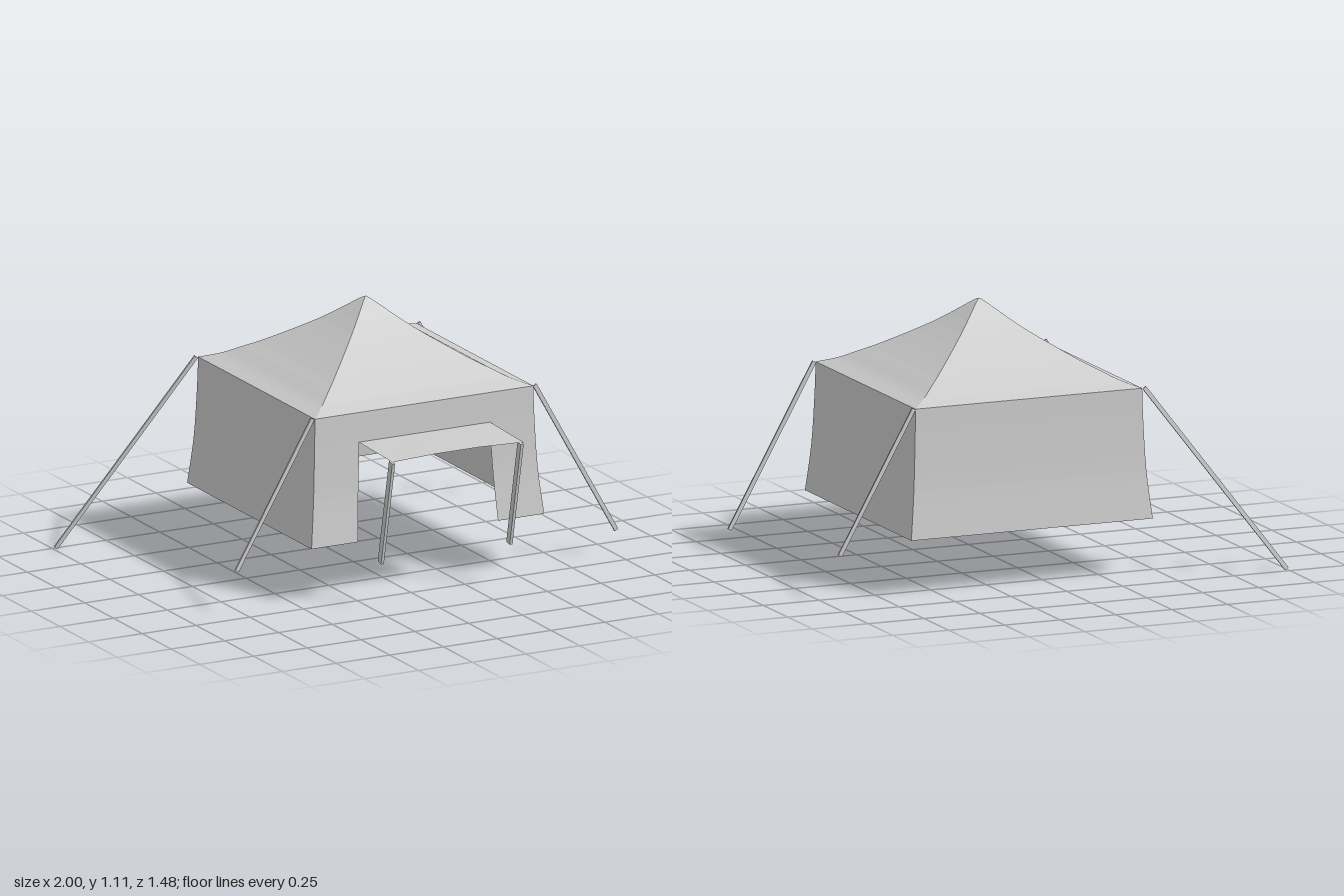
import * as THREE from 'three';

const CX = 0.095, CZ = -0.072, EAVE = 0.783, DOOR = 0.655;
const cloth = new THREE.MeshStandardMaterial({ color: 0xcccccc, flatShading: true, side: THREE.DoubleSide });
const V = (x, y, z) => new THREE.Vector3(x, y, z);

// Half-width of the tent against height: [half, y]
const curve = pts => new THREE.SplineCurve(pts.map(p => new THREE.Vector2(...p)));
const wallProfile = curve([[0.541, 0.24], [0.521, 0.44], [0.511, DOOR], [0.508, EAVE]]).getPoints(12);
const roofProfile = curve([[0.508, EAVE], [0.437, 0.81], [0.375, 0.845], [0.3, 0.888],
  [0.14, 0.995], [0.02, 1.094], [0, 1.105]]).getPoints(18);

function add(group, name, geometry) {
  const mesh = new THREE.Mesh(geometry, cloth);
  mesh.name = name;
  group.add(mesh);
  return mesh;
}

// Square sweep of a profile around the tent's axis
function squareSweep(profile, length) {
  const pts = profile.map(p => new THREE.Vector2(Math.max(p.x, 0) * Math.SQRT2, p.y));
  const sides = Math.round(length / (Math.PI / 2));
  return new THREE.LatheGeometry(pts, sides, Math.PI / 4, length).translate(CX, 0, CZ);
}

// Surface through rows of points, each row running left to right, listed bottom to top
function sheet(rows) {
  const n = rows[0].length, index = [];
  for (let r = 0; r < rows.length - 1; r++) {
    for (let c = 0; c < n - 1; c++) {
      const a = r * n + c, b = a + n;
      index.push(a, a + 1, b + 1, a, b + 1, b);
    }
  }
  const g = new THREE.BufferGeometry().setFromPoints(rows.flat());
  g.setIndex(index);
  g.computeVertexNormals();
  return g;
}

// Flat strap or pole from a to b: width across, depth along the given thin axis
function bar(group, name, a, b, width, depth, depthAxis) {
  const dir = b.clone().sub(a);
  const mesh = add(group, name, new THREE.BoxGeometry(width, dir.length(), depth));
  const y = dir.normalize();
  const x = new THREE.Vector3().crossVectors(y, depthAxis).normalize();
  const z = new THREE.Vector3().crossVectors(x, y);
  mesh.quaternion.setFromRotationMatrix(new THREE.Matrix4().makeBasis(x, y, z));
  mesh.position.copy(a).add(b).multiplyScalar(0.5);
}

export function createModel() {
  const tent = new THREE.Group();
  tent.name = 'tent';

  // Roof, and the two side walls with the back wall
  add(tent, 'roof', squareSweep(roofProfile, Math.PI * 2));
  add(tent, 'sideAndBackWalls', squareSweep(wallProfile, Math.PI * 1.5));

  // Front wall: a panel on each side of the doorway and a header above it
  const lower = wallProfile.filter(p => p.y < DOOR + 0.001);
  const upper = wallProfile.filter(p => p.y > DOOR - 0.001);
  const doorHalf = y => 0.304 + 0.022 * ((DOOR - y) / (DOOR - 0.24)) ** 1.3;
  for (const [s, name] of [[-1, 'frontWallRight'], [1, 'frontWallLeft']]) {
    add(tent, name, sheet(lower.map(p => {
      const xs = [s * p.x, s * doorHalf(Math.min(p.y, DOOR))].sort((a, b) => a - b);
      return xs.map(x => V(CX + x, p.y, CZ + p.x));
    })));
  }
  add(tent, 'frontHeader', sheet(upper.map(p => [-p.x, p.x].map(x => V(CX + x, p.y, CZ + p.x)))));

  // Awning over the doorway, its front edge a little lower at the corners
  const awningXs = [-0.305, -0.1, 0.1, 0.305];
  add(tent, 'awning', sheet([
    awningXs.map(x => V(CX + x, Math.abs(x) > 0.2 ? 0.648 : 0.654, Math.abs(x) > 0.2 ? 0.732 : 0.726)),
    awningXs.map(x => V(CX + x, 0.657, CZ + 0.511)),
  ]));

  // Awning poles, leaning back towards the tent at the foot
  for (const [x, name] of [[-0.207, 'awningPoleRight'], [0.391, 'awningPoleLeft']]) {
    bar(tent, name, V(x, 0.19, 0.624), V(x, 0.645, 0.722), 0.013, 0.03, V(0, 0, 1));
  }

  // Guy lines at the four corners
  const guys = [
    ['guyLineFrontRight', V(-0.422, 0.785, 0.432), V(-0.775, 0.182, 0.432)],
    ['guyLineFrontLeft', V(0.611, 0.785, 0.432), V(0.99, 0.112, 0.432)],
    ['guyLineBackRight', V(-0.422, 0.785, -0.58), V(-0.992, 0.006, -0.735)],
    ['guyLineBackLeft', V(0.611, 0.785, -0.58), V(0.942, 0.197, -0.58)],
  ];
  for (const [name, top, end] of guys) bar(tent, name, top, end, 0.018, 0.008, V(0, 0, 1));

  return tent;
}
